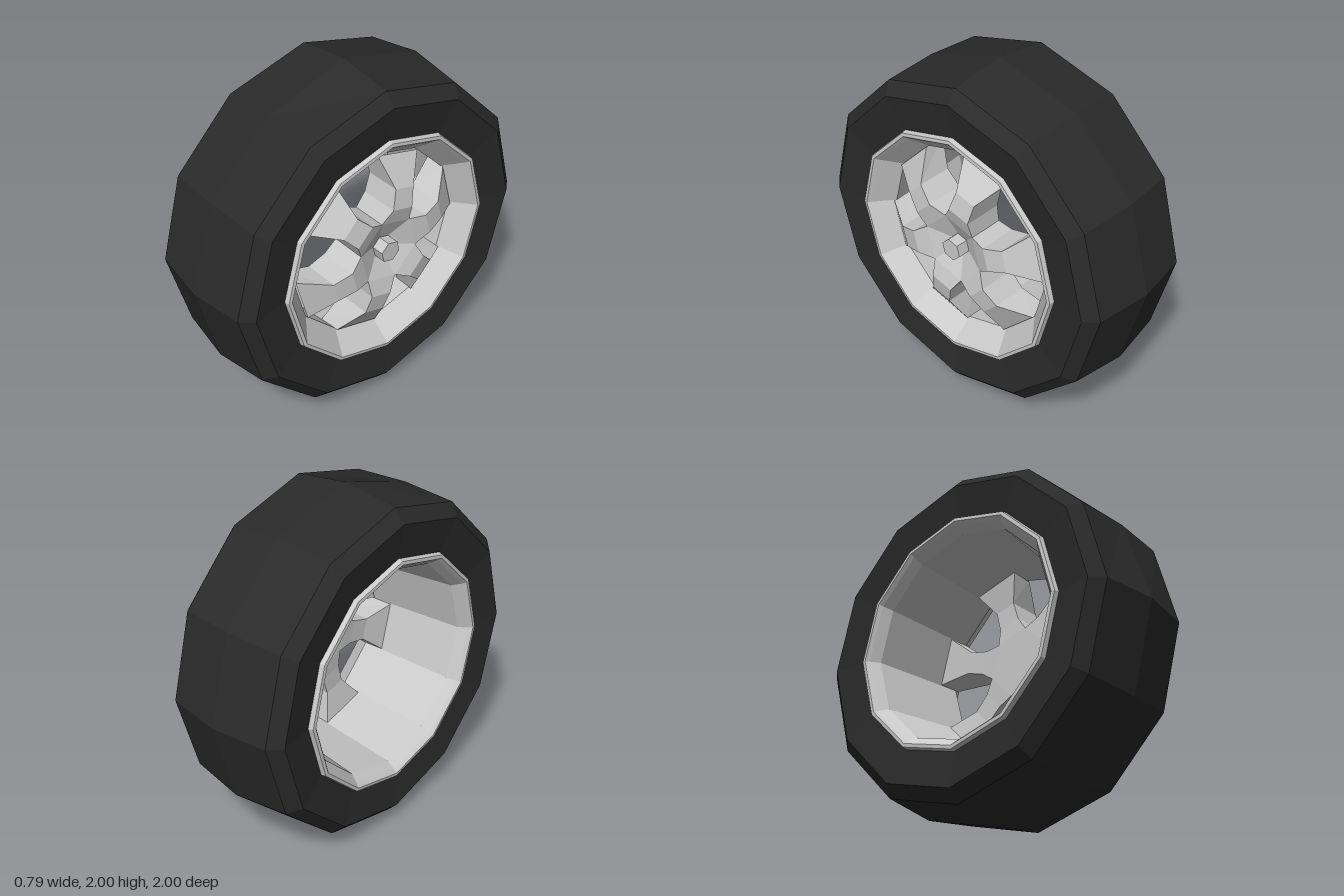
import * as THREE from 'three';

const tyreMat = new THREE.MeshStandardMaterial({ color: 0x2a2a2a });
tyreMat.name = 'black rubber';
const rimMat = new THREE.MeshStandardMaterial({ color: 0xcacaca });
rimMat.name = 'light metal';

// Faceted normals for the low-poly look
function faceted(geometry) {
  const g = geometry.index ? geometry.toNonIndexed() : geometry;
  g.computeVertexNormals();
  return g;
}

function part(name, geometry, material) {
  const mesh = new THREE.Mesh(faceted(geometry), material);
  mesh.name = name;
  return mesh;
}

// Turned geometry; profile is [radius, x], axis along y until placed
function turnedGeometry(profile, sides, start) {
  return new THREE.LatheGeometry(profile.map(([r, x]) => new THREE.Vector2(r, x)), sides, start);
}

// Lays a turned part along the axle
function turned(name, geometry, material) {
  const mesh = part(name, geometry, material);
  mesh.rotation.z = -Math.PI / 2;
  return mesh;
}

// Tyre with crowned tread and bevelled shoulders
function tyreGeometry() {
  const g = turnedGeometry([
    [0.68, -0.362], [0.885, -0.395], [0.955, -0.33], [1, -0.005],
    [0.955, 0.32], [0.885, 0.382], [0.68, 0.35],
  ], 12, 0);
  // The crown is slightly flattened on the upper front
  const p = g.attributes.position;
  for (let i = 0; i < p.count; i++) {
    const x = p.getX(i);
    const z = p.getZ(i);
    if (Math.hypot(x, z) > 0.99 && x < -0.2 && z > 0.2) p.setXYZ(i, x * 0.973, p.getY(i), z * 0.973);
  }
  return g;
}

// Spoke lofted from four-cornered sections, pointing up, outer face to +x
function spokeGeometry() {
  // front radius, back radius, half width, front x, back x
  const sections = [
    [0.173, 0.173, 0.1, 0.368, 0.16],
    [0.265, 0.265, 0.068, 0.395, 0.165],
    [0.378, 0.378, 0.064, 0.372, 0.165],
    [0.531, 0.545, 0.143, 0.268, 0.135],
  ];
  const positions = [];
  const index = [];
  sections.forEach(([rf, rb, w, xf, xb], i) => {
    positions.push(xf, rf, w, xf, rf, -w, xb, rb, -w, xb, rb, w);
    if (i === sections.length - 1) return;
    for (let k = 0; k < 4; k++) {
      const a = i * 4 + k;
      const b = i * 4 + (k + 1) % 4;
      index.push(a, b, b + 4, a, b + 4, a + 4);
    }
  });
  const g = new THREE.BufferGeometry();
  g.setAttribute('position', new THREE.Float32BufferAttribute(positions, 3));
  g.setIndex(index);
  return g;
}

export function createModel() {
  const model = new THREE.Group();
  model.name = 'wheel';
  const wheel = new THREE.Group();
  wheel.name = 'wheelAssembly';
  wheel.position.y = 1;
  model.add(wheel);

  wheel.add(turned('tyre', tyreGeometry(), tyreMat));

  // Rim: front lip, dished face, deep barrel, rear lip
  wheel.add(turned('rim', turnedGeometry([
    [0.686, 0.345], [0.678, 0.378], [0.658, 0.38], [0.64, 0.36],
    [0.55, 0.25], [0.555, 0.2], [0.605, -0.32], [0.64, -0.372],
    [0.658, -0.392], [0.678, -0.39], [0.686, -0.357],
  ], 12, 0), rimMat));

  // Six spokes
  const spokes = new THREE.Group();
  spokes.name = 'spokes';
  for (let i = 0; i < 6; i++) {
    const spoke = part('spoke', spokeGeometry(), rimMat);
    spoke.rotation.x = -(Math.PI / 12 + i * Math.PI / 3);
    spokes.add(spoke);
  }
  wheel.add(spokes);

  // Recessed hexagonal hub, front and back
  const hex = Math.PI / 4;
  wheel.add(turned('hubFront', turnedGeometry([[0.2, 0.368], [0, 0.285]], 6, hex), rimMat));
  wheel.add(turned('hubBack', turnedGeometry([[0, 0.16], [0.2, 0.16]], 6, hex), rimMat));

  // Axle nut
  wheel.add(turned('axleNut', turnedGeometry([
    [0.064, 0.28], [0.064, 0.385], [0, 0.385],
  ], 6, hex), rimMat));

  return model;
}
